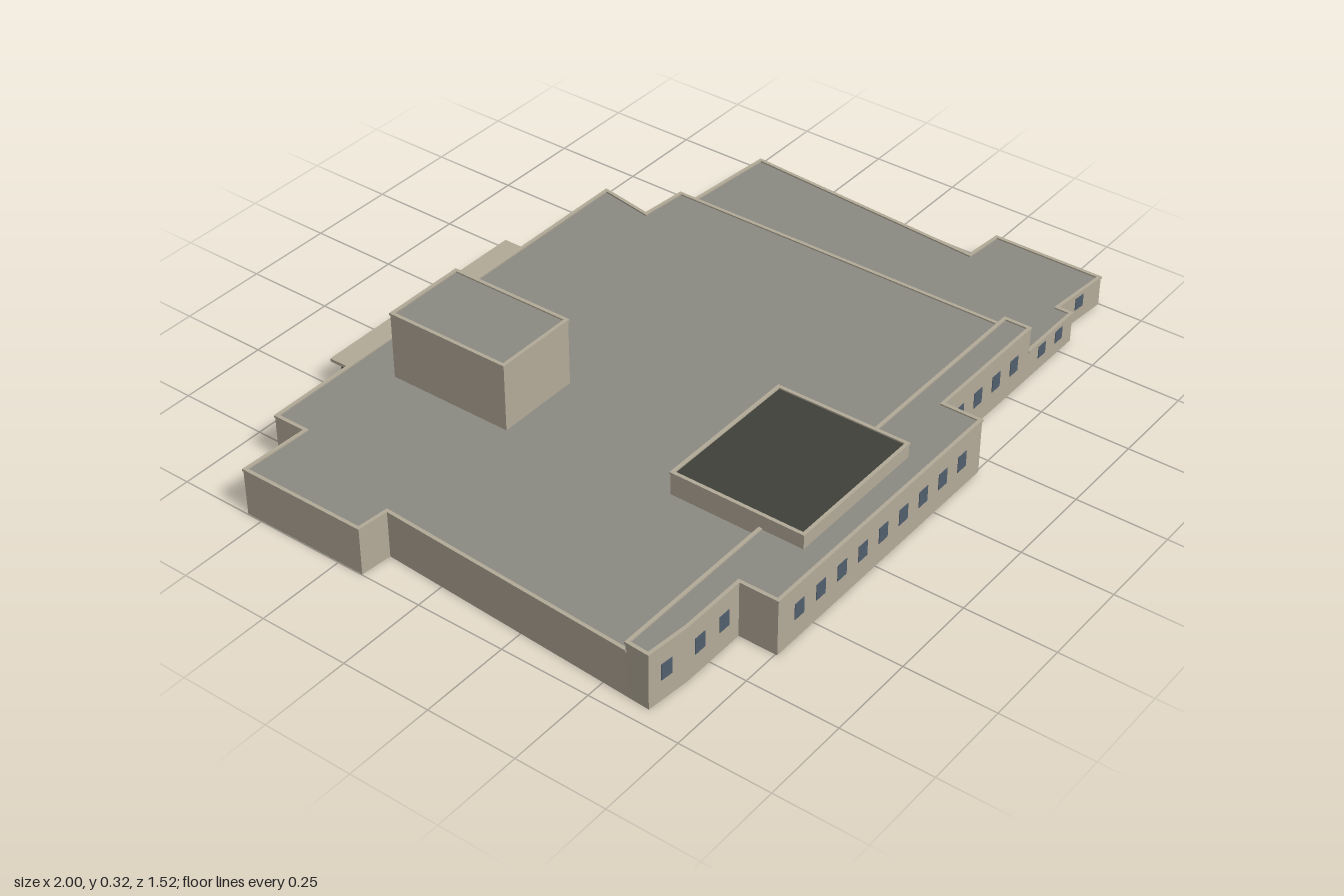
import * as THREE from 'three';

const mat = (name, color) => {
  const m = new THREE.MeshStandardMaterial({ color });
  m.name = name;
  return m;
};

// Moves every edge of an [x, z] outline outward by d, with mitred corners
function offset(pts, d) {
  const n = pts.length;
  const normal = (a, b) => {
    const l = Math.hypot(b[0] - a[0], b[1] - a[1]);
    return [(b[1] - a[1]) / l, (a[0] - b[0]) / l];
  };
  return pts.map((p, i) => {
    const n1 = normal(pts[(i + n - 1) % n], p);
    const n2 = normal(p, pts[(i + 1) % n]);
    const k = d / (1 + n1[0] * n2[0] + n1[1] * n2[1]);
    return [p[0] + (n1[0] + n2[0]) * k, p[1] + (n1[1] + n2[1]) * k];
  });
}

const toVectors = (pts) => pts.map(([x, z]) => new THREE.Vector2(x, -z));

// Upright ring between two outlines; the hole runs the opposite way round
function ring(outer, inner, y, height) {
  const shape = new THREE.Shape(toVectors(outer));
  shape.holes.push(new THREE.Path(toVectors(inner).reverse()));
  const g = new THREE.ExtrudeGeometry(shape, { depth: height, bevelEnabled: false });
  return g.rotateX(-Math.PI / 2).translate(0, y, 0);
}

const rect = (x0, x1, z0, z1) => [[x0, z0], [x1, z0], [x1, z1], [x0, z1]];

export function createModel() {
  const model = new THREE.Group();
  model.name = 'building';
  const wall = mat('tan wall', 0xb4ab99);
  wall.side = THREE.DoubleSide;
  const roofGrey = mat('grey roof', 0x8c8a83);
  roofGrey.side = THREE.DoubleSide;
  const roofDark = mat('dark roof', 0x40413a);
  roofDark.side = THREE.DoubleSide;
  const glass = mat('window glass', 0x525f6e);
  const metal = mat('dark metal', 0x3a3a38);

  const add = (parent, name, geometry, material) => {
    const m = new THREE.Mesh(geometry, material);
    m.name = name;
    parent.add(m);
    return m;
  };

  // A hollow volume: thin walls from the ground, a sunken flat roof and a coping
  function volume(name, outline, height, roofMaterial = roofGrey) {
    const g = new THREE.Group();
    g.name = name;
    model.add(g);
    const inner = offset(outline, -0.008);
    add(g, 'walls', ring(outline, offset(outline, -0.002), 0, height - 0.006), wall);
    add(g, 'coping', ring(offset(outline, 0.002), inner, height - 0.006, 0.006), wall);
    const roof = new THREE.ShapeGeometry(new THREE.Shape(toVectors(inner)));
    add(g, 'roof', roof.rotateX(-Math.PI / 2).translate(0, height - 0.004, 0), roofMaterial);
  }

  volume('mainHall', [
    [-0.998, -0.545], [-0.8, -0.537], [-0.8, -0.633], [0.487, -0.633], [0.459, -0.475], [0.597, -0.463],
    [0.597, 0.569], [-0.951, 0.569], [-0.91, -0.168], [-0.998, -0.176],
  ], 0.136);
  volume('frontRange', [
    [-0.951, 0.569], [0.597, 0.569], [0.597, 0.647], [0.198, 0.647], [0.198, 0.755],
    [-0.64, 0.755], [-0.64, 0.647], [-0.83, 0.647], [-0.955, 0.635],
  ], 0.16);
  volume('lowWing', [
    [0.597, -0.463], [0.93, -0.435], [0.88, 0.288], [0.998, 0.298], [0.998, 0.621],
    [0.81, 0.605], [0.81, 0.647], [0.597, 0.647],
  ], 0.088);
  volume('tower', rect(-0.502, -0.26, -0.512, -0.151), 0.324);
  volume('frontRoofBlock', rect(-0.457, -0.028, 0.313, 0.693), 0.198, roofDark);

  // Windows spread evenly from point a to point b along a wall
  function windowRow(a, b, count, y, w, h) {
    for (let i = 0; i < count; i++) {
      const t = count > 1 ? i / (count - 1) : 0.5;
      const m = add(model, 'window', new THREE.BoxGeometry(w, h, 0.003), glass);
      m.position.set(a[0] + (b[0] - a[0]) * t, y, a[1] + (b[1] - a[1]) * t);
      m.rotation.y = -Math.atan2(b[1] - a[1], b[0] - a[0]);
    }
  }
  const tall = [0.083, 0.036, 0.046];
  const small = [0.055, 0.034, 0.036];
  windowRow([-0.918, 0.6386], [-0.878, 0.6424], 1, ...tall);
  windowRow([-0.785, 0.647], [-0.695, 0.647], 2, ...tall);
  windowRow([-0.558, 0.755], [0.115, 0.755], 9, ...tall);
  windowRow([0.272, 0.647], [0.524, 0.647], 4, ...tall);
  windowRow([0.662, 0.647], [0.744, 0.647], 2, ...small);
  windowRow([0.87, 0.6101], [0.938, 0.6159], 1, ...small);
  windowRow([0.998, 0.548], [0.998, 0.38], 3, ...small);
  windowRow([0.8847, 0.22], [0.9252, -0.365], 8, ...small);
  windowRow([0.88, 0.288], [0.998, 0.298], 1, ...small);
  windowRow([0.67, -0.4569], [0.86, -0.4409], 3, ...small);

  // Loading dock behind the hall: platform, canopy and posts
  const dock = new THREE.Group();
  dock.name = 'loadingDock';
  model.add(dock);
  add(dock, 'platform', new THREE.BoxGeometry(0.682, 0.01, 0.122), roofGrey).position.set(-0.162, 0.005, -0.698);
  add(dock, 'canopy', new THREE.BoxGeometry(0.682, 0.009, 0.096), wall).position.set(-0.162, 0.087, -0.685);
  for (let i = 0; i < 7; i++) {
    const post = add(dock, 'post', new THREE.BoxGeometry(0.005, 0.074, 0.005), metal);
    post.position.set(-0.475 + i * 0.104, 0.0465, -0.72);
  }
  return model;
}
